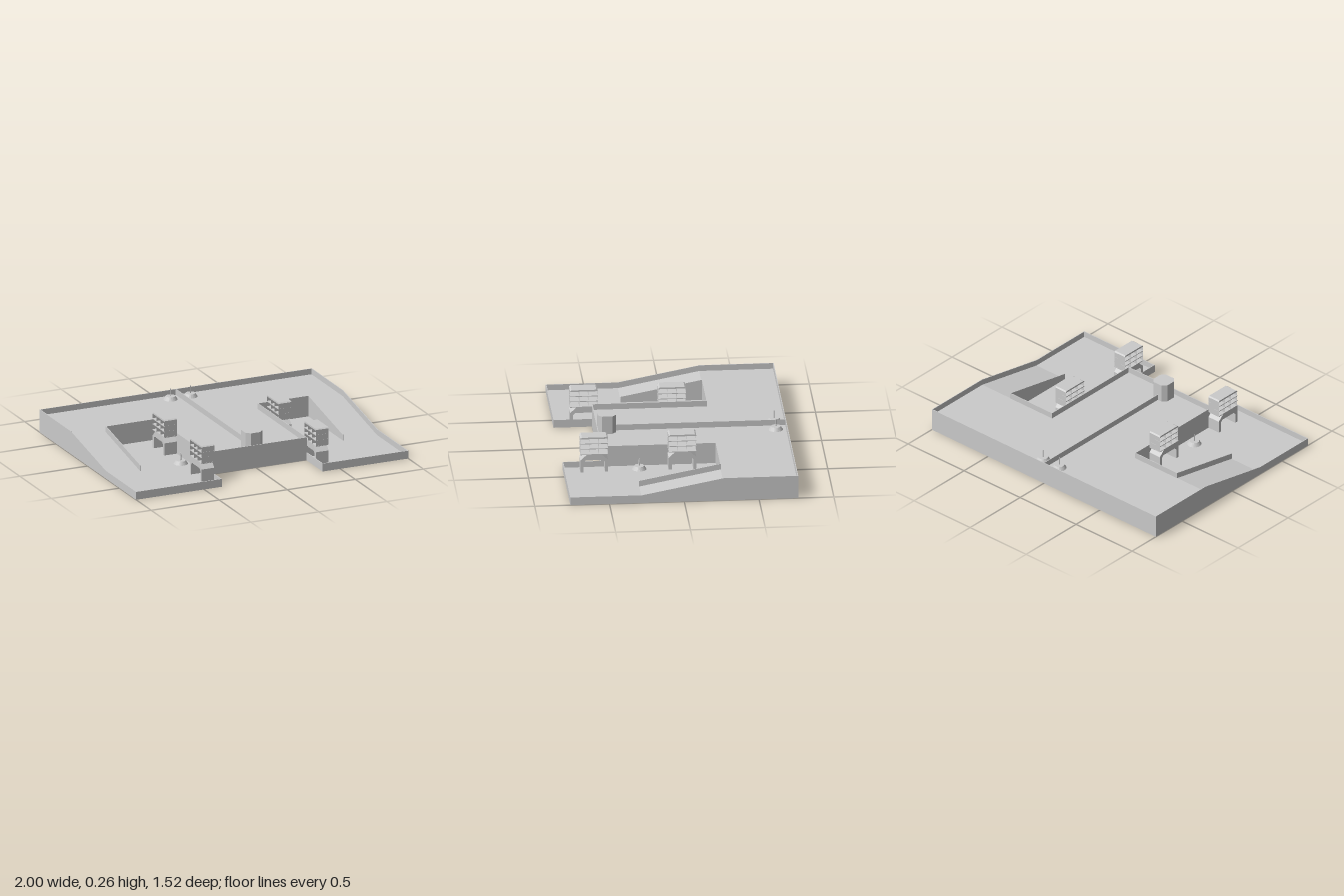
import * as THREE from 'three';

const LOW = 0.015, HIGH = 0.12, LIP = 0.04;
const LOW_TOP = LOW + LIP, HIGH_TOP = HIGH + LIP;
const T = 0.005; // wall thickness
const OUT_X = 1 - T / 2, OUT_Z = 0.762 - T / 2;
const PIT_IN = 0.372, PIT_OUT = 0.744, PIT_BACK = -0.263, FRONT = 0.503, RAMP_END = 0.28;

const material = new THREE.MeshStandardMaterial({
  color: 0xcccccc, flatShading: true, side: THREE.DoubleSide,
});

function add(parent, name, geometry, x = 0, y = 0, z = 0) {
  const mesh = new THREE.Mesh(geometry, material);
  mesh.name = name;
  mesh.position.set(x, y, z);
  parent.add(mesh);
  return mesh;
}

const polygon = (points) => new THREE.Shape(points.map(([x, y]) => new THREE.Vector2(x, y)));
const extrude = (shape, depth) => new THREE.ExtrudeGeometry(shape, { depth, bevelEnabled: false });

// Profile given as (z, y), extruded along x and centred on x = 0
function extrudeAlongX(points, width) {
  const g = extrude(polygon(points.map(([z, y]) => [-z, y])), width);
  return g.translate(0, 0, -width / 2).rotateY(Math.PI / 2);
}

// Plan given as (x, z), extruded upwards from y = 0
function extrudeUp(points, height) {
  return extrude(polygon(points.map(([x, z]) => [x, -z])), height).rotateX(-Math.PI / 2);
}

// Thin upright wall between two plan points, with a top height at each end
function wall(parent, name, x0, z0, h0, x1, z1, h1, base = 0) {
  const dx = x1 - x0, dz = z1 - z0, length = Math.hypot(dx, dz), e = T / 2;
  const g = extrude(polygon([[-e, base], [length + e, base], [length + e, h1], [-e, h0]]), T);
  g.translate(0, 0, -T / 2).rotateY(Math.atan2(-dz, dx));
  return add(parent, name, g, x0, 0, z0);
}

// Open shelved tower on an arched stand
function createTower(x, z) {
  const tower = new THREE.Group();
  tower.name = 'tower';
  tower.position.set(x, 0, z);
  const width = 0.094, half = 0.0925, inner = 0.072;
  add(tower, 'archedStand', extrudeAlongX([
    [-half, LOW], [-half, 0.1], [-0.05, 0.14], [0.05, 0.14], [half, 0.1], [half, LOW],
    [inner, LOW], [inner, 0.085], [0.058, 0.1], [-0.058, 0.1], [-inner, 0.085], [-inner, LOW],
  ], width));
  for (const y of [0.141, 0.181, 0.218]) {
    add(tower, 'shelf', new THREE.BoxGeometry(width, 0.005, half * 2), 0, y, 0);
  }
  for (let i = 0; i < 4; i++) {
    const pz = -half + 0.001 + (i * (half - 0.001) * 2) / 3;
    add(tower, 'upright', new THREE.PlaneGeometry(width, 0.114), 0, 0.197, pz);
  }
  add(tower, 'lid', extrudeAlongX([
    [-half, 0.252], [-half, 0.256], [-0.083, 0.263], [0.083, 0.263], [half, 0.256], [half, 0.252],
  ], width));
  return tower;
}

// Flared base with a thin spike
function createBeacon(x, y, z) {
  const beacon = new THREE.Group();
  beacon.name = 'beacon';
  beacon.position.set(x, y, z);
  add(beacon, 'beaconBase', new THREE.CylinderGeometry(0.033, 0.048, 0.024, 20), 0, 0.012, 0);
  add(beacon, 'spike', new THREE.CylinderGeometry(0.003, 0.004, 0.054, 8), 0, 0.049, 0);
  return beacon;
}

export function createModel() {
  const model = new THREE.Group();
  model.name = 'terracedBase';

  // Upper terrace and its central promontory
  add(model, 'upperTerrace', extrudeUp([
    [-OUT_X, -OUT_Z], [OUT_X, -OUT_Z], [OUT_X, PIT_BACK], [PIT_IN, PIT_BACK], [PIT_IN, FRONT],
    [-PIT_IN, FRONT], [-PIT_IN, PIT_BACK], [-OUT_X, PIT_BACK],
  ], HIGH));
  wall(model, 'backWall', -OUT_X, -OUT_Z, HIGH_TOP, OUT_X, -OUT_Z, HIGH_TOP);
  wall(model, 'promontoryWall', -PIT_IN, FRONT, HIGH_TOP, PIT_IN, FRONT, HIGH_TOP);
  wall(model, 'divider', 0, -OUT_Z, HIGH_TOP, 0, 0.4, HIGH_TOP, HIGH - 0.01);

  // Octagonal turret at the front of the divider
  const r = 0.062, c = 0.034;
  add(model, 'turret', extrudeUp([
    [-c, -r], [c, -r], [r, -c], [r, c], [c, r], [-c, r], [-r, c], [-r, -c],
  ], 0.125), 0, HIGH, 0.438);

  for (const s of [-1, 1]) {
    const side = new THREE.Group();
    side.name = s > 0 ? 'leftSide' : 'rightSide';
    model.add(side);

    // Lower yard and the ramp beside it
    add(side, 'lowerYard', extrudeUp([
      [s * PIT_IN, PIT_BACK], [s * PIT_IN, OUT_Z], [s * OUT_X, OUT_Z], [s * OUT_X, PIT_BACK],
    ], LOW));
    add(side, 'ramp', extrudeAlongX([
      [PIT_BACK, 0.002], [PIT_BACK, HIGH], [RAMP_END, LOW], [RAMP_END, 0.002],
    ], OUT_X - PIT_OUT), s * (OUT_X + PIT_OUT) / 2);

    // Walls as runs of [x, z, top height]
    const runs = {
      outerWall: [[OUT_X, -OUT_Z, HIGH_TOP], [OUT_X, PIT_BACK, HIGH_TOP],
        [OUT_X, RAMP_END, LOW_TOP], [OUT_X, OUT_Z, LOW_TOP], [PIT_IN, OUT_Z, LOW_TOP],
        [PIT_IN, FRONT, LOW_TOP]],
      yardWall: [[PIT_IN, FRONT, HIGH_TOP], [PIT_IN, PIT_BACK, HIGH_TOP],
        [PIT_OUT, PIT_BACK, HIGH_TOP], [PIT_OUT, RAMP_END, LOW_TOP]],
    };
    for (const [name, run] of Object.entries(runs)) {
      for (let i = 1; i < run.length; i++) {
        const [x0, z0, h0] = run[i - 1], [x1, z1, h1] = run[i];
        wall(side, name, s * x0, z0, h0, s * x1, z1, h1);
      }
    }

    // Towers along the yard edge, and beacons
    for (const z of [-0.032, 0.558]) side.add(createTower(s * 0.42, z));
    side.add(createBeacon(s * 0.073, HIGH, -0.688));
    side.add(createBeacon(s * 0.436, LOW, 0.255));
  }
  return model;
}
